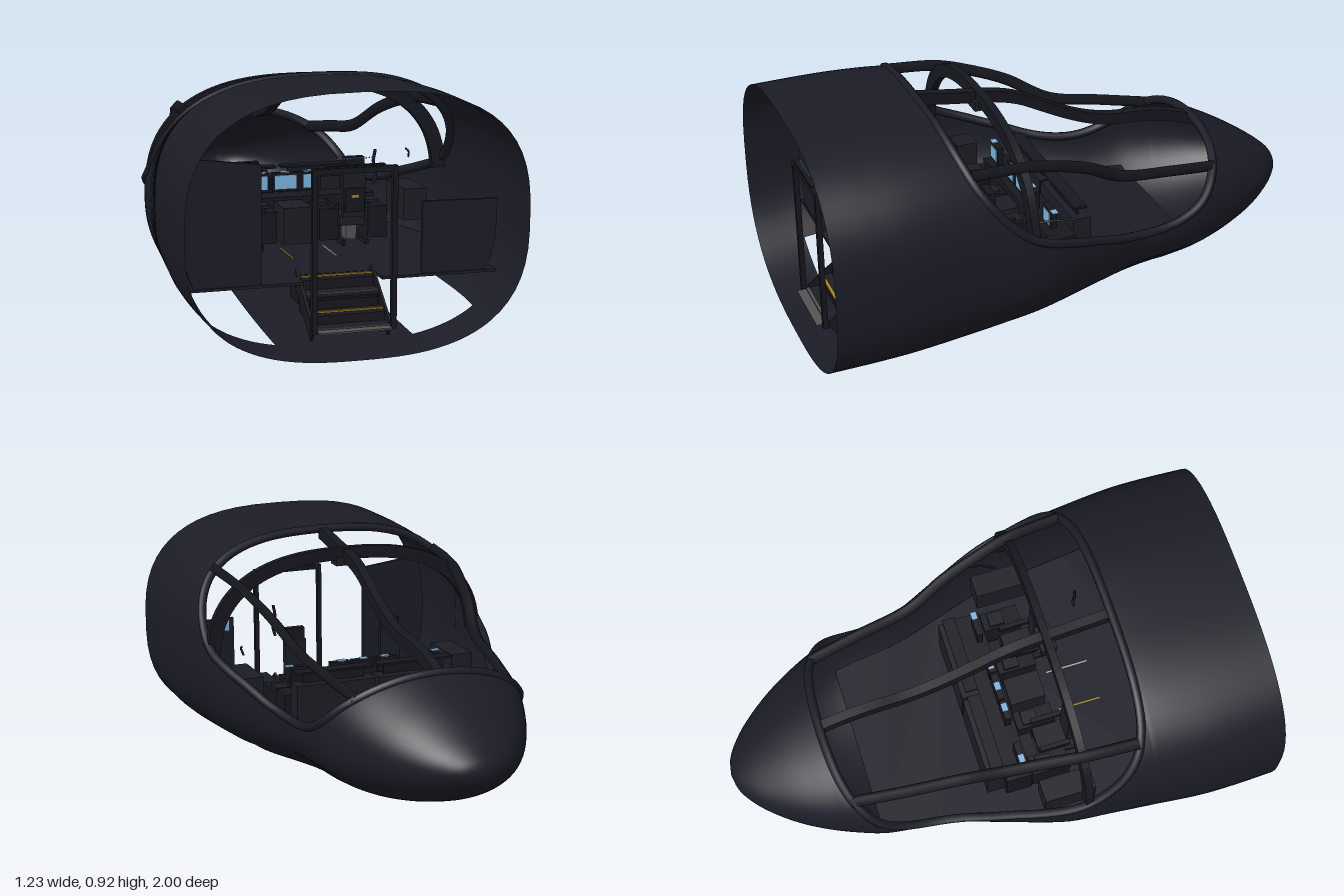
import * as THREE from 'three';
import { mergeVertices } from 'three/addons/utils/BufferGeometryUtils.js';

const mat = (name, color) => Object.assign(new THREE.MeshStandardMaterial({ color, side: THREE.DoubleSide }), { name });
const M = {
  hull: mat('hull navy', 0x1c1c27),
  frame: mat('frame dark', 0x17171f),
  trim: mat('trim charcoal', 0x1d1d26),
  screen: mat('screen blue', 0x7fb4de),
  yellow: mat('marking yellow', 0xa88a1c),
  grey: mat('metal grey', 0x545456),
  pale: mat('marking pale', 0xb0b0b0),
};

// Smooth curve through [z, value] points sorted by z
function curve(p) {
  const slope = (i) => {
    const a = p[Math.max(i - 1, 0)], b = p[Math.min(i + 1, p.length - 1)];
    return (b[1] - a[1]) / (b[0] - a[0]);
  };
  return (z) => {
    let i = 0;
    while (i < p.length - 2 && z > p[i + 1][0]) i++;
    const d = p[i + 1][0] - p[i][0], t = THREE.MathUtils.clamp((z - p[i][0]) / d, 0, 1);
    const t2 = t * t, t3 = t2 * t;
    return (2 * t3 - 3 * t2 + 1) * p[i][1] + (t3 - 2 * t2 + t) * d * slope(i)
      + (3 * t2 - 2 * t3) * p[i + 1][1] + (t3 - t2) * d * slope(i + 1);
  };
}

// Hull outlines along z: half width, roof, belly, roundness, window sill
const width = curve([[-1, 0], [-0.99, 0.055], [-0.96, 0.11], [-0.9, 0.178], [-0.8, 0.257], [-0.7, 0.315], [-0.6, 0.36],
  [-0.5, 0.395], [-0.4, 0.41], [-0.3, 0.42], [-0.2, 0.44], [-0.1, 0.475], [0, 0.51], [0.1, 0.545], [0.2, 0.57],
  [0.35, 0.582], [0.5, 0.595], [0.7, 0.612], [0.85, 0.612], [1, 0.605]]);
const roof = curve([[-1, 0.345], [-0.99, 0.378], [-0.96, 0.41], [-0.9, 0.456], [-0.8, 0.52], [-0.7, 0.573], [-0.6, 0.62],
  [-0.5, 0.65], [-0.4, 0.665], [-0.3, 0.672], [-0.2, 0.695], [-0.1, 0.735], [0, 0.785], [0.1, 0.835], [0.2, 0.862],
  [0.35, 0.883], [0.5, 0.905], [0.7, 0.913], [1, 0.915]]);
const belly = curve([[-1, 0.345], [-0.99, 0.31], [-0.96, 0.28], [-0.9, 0.24], [-0.8, 0.187], [-0.6, 0.125], [-0.4, 0.1],
  [-0.3, 0.097], [-0.1, 0.08], [0.13, 0.052], [0.5, 0.022], [1, 0]]);
const power = curve([[-1, 2], [-0.6, 2.15], [0, 2.4], [0.5, 2.65], [1, 2.7]]);
const sill = curve([[-0.63, 0.607], [-0.61, 0.565], [-0.57, 0.51], [-0.5, 0.435], [-0.4, 0.385], [-0.29, 0.37], [-0.15, 0.39],
  [-0.02, 0.435], [0.1, 0.475], [0.25, 0.535], [0.35, 0.62], [0.42, 0.71], [0.46, 0.78], [0.49, 0.86], [0.5, 0.905]]);
const Z0 = -0.63, Z1 = 0.5, BAY0 = 0.13, BAY1 = 0.82;

const mid = (z) => (roof(z) + belly(z)) / 2, half = (z) => (roof(z) - belly(z)) / 2;
function section(z, t) {
  const e = 2 / power(z), s = Math.sin(t);
  return [width(z) * Math.pow(Math.max(Math.cos(t), 0), e), mid(z) + half(z) * Math.sign(s) * Math.pow(Math.abs(s), e)];
}
function angleAt(z, y) {
  const k = THREE.MathUtils.clamp((y - mid(z)) / Math.max(half(z), 1e-6), -1, 1);
  return Math.asin(Math.sign(k) * Math.pow(Math.abs(k), power(z) / 2));
}
const halfX = (z, y) => section(z, angleAt(z, y))[0];
const topAngle = (z) => (z <= Z0 + 1e-6 || z >= Z1 - 1e-6 ? Math.PI / 2 : angleAt(z, sill(z)));
const steps = (n, f) => Array.from({ length: n + 1 }, (_, i) => f(i / n));
const windowZ = (u) => Z0 + (Z1 - Z0) * (1 - Math.cos(Math.PI * u)) / 2;

// Open shell with the canopy opening above and two bays in the belly
function hullGeometry() {
  const zs = [...steps(22, (u) => -1 + (Z0 + 1) * u * u), ...steps(60, windowZ).slice(1),
    ...steps(25, (u) => Z1 + (1 - Z1) * u).slice(1), BAY0, BAY1].sort((a, b) => a - b);
  const A = 10, B = 20, N = 42, row = 2 * N + 1, pos = [], idx = [];
  for (const z of zs) {
    // bay edges fall exactly on rows A and B
    const c = THREE.MathUtils.clamp(z, BAY0, BAY1);
    const tA = -Math.acos(Math.pow(0.25 / width(c), power(c) / 2)), tB = angleAt(c, 0.11 + 0.065 * (BAY1 - c)), tN = topAngle(z);
    for (let j = -N; j <= N; j++) {
      const k = Math.abs(j), mix = THREE.MathUtils.lerp;
      const t = k < A ? mix(-Math.PI / 2, tA, k / A) : k < B ? mix(tA, tB, (k - A) / (B - A)) : mix(tB, tN, (k - B) / (N - B));
      const [x, y] = section(z, t);
      pos.push(k === 0 || (k === N && tN > 1.5707) ? 0 : Math.sign(j) * x, y, z);
    }
  }
  for (let i = 0; i < zs.length - 1; i++) for (let j = 0; j < row - 1; j++) {
    const a = i * row + j, b = a + row, k = Math.abs(j + 0.5 - N);
    if (zs[i] >= BAY0 && zs[i + 1] <= BAY1 && k > A && k < B) continue;
    idx.push(a, a + 1, b, a + 1, b + 1, b);
  }
  const g = new THREE.BufferGeometry();
  g.setAttribute('position', new THREE.Float32BufferAttribute(pos, 3));
  g.setIndex(idx);
  const m = mergeVertices(g, 1e-5);
  m.computeVertexNormals();
  return m;
}

export function createModel() {
  const root = new THREE.Group();
  root.name = 'cockpit';
  const add = (name, geo, m, x = 0, y = 0, z = 0, parent = root) => {
    const o = new THREE.Mesh(geo, m);
    o.name = name;
    o.position.set(x, y, z);
    parent.add(o);
    return o;
  };
  const box = (name, m, w, h, d, x, y, z, parent) => add(name, new THREE.BoxGeometry(w, h, d), m, x, y, z, parent);
  const tube = (name, m, pts, r, closed = false, sides = 8, seg = 60) =>
    add(name, new THREE.TubeGeometry(new THREE.CatmullRomCurve3(pts.map((p) => new THREE.Vector3(...p)), closed), seg, r, sides, closed), m);
  const plate = (pts, depth) =>
    new THREE.ExtrudeGeometry(new THREE.Shape(pts.map((p) => new THREE.Vector2(...p))), { depth, bevelEnabled: false });

  add('hull', hullGeometry(), M.hull);

  // Rim around the canopy opening, sunk slightly into the skin
  const edge = steps(30, windowZ).map((z) => {
    const [x, y] = section(z, topAngle(z));
    return [x * 0.99, mid(z) + (y - mid(z)) * 0.985, z];
  });
  edge[0][0] = edge[30][0] = 0;
  tube('canopyRim', M.hull, [...edge, ...edge.slice(1, -1).reverse().map(([x, y, z]) => [-x, y, z])], 0.017, true, 8, 160);

  // Centre beam, side rails and cross arch of the canopy
  const bz = steps(40, (u) => Z0 + (Z1 - Z0) * u);
  const beam = add('centreBeam', plate([...bz.map((z) => [-z, roof(z)]), ...bz.reverse().map((z) => [-z, roof(z) - 0.045])], 0.036), M.frame, -0.018);
  beam.rotation.y = Math.PI / 2;
  for (const s of [-1, 1]) {
    tube('sideRail', M.frame, [[0.47, 0.785, 0.455], [0.455, 0.77, 0.25], [0.43, 0.737, 0.12], [0.4, 0.685, -0.02], [0.355, 0.597, -0.18],
      [0.325, 0.557, -0.4], [0.295, 0.525, -0.59]].map(([x, y, z]) => [s * x, y, z]), 0.023, false, 4);
  }
  const a0 = angleAt(0.25, 0.5);
  const arc = steps(48, (u) => a0 + (Math.PI - 2 * a0) * u).map((t) => {
    const [x, y] = section(0.25, t > Math.PI / 2 ? Math.PI - t : t);
    return [t > Math.PI / 2 ? -x : x, mid(0.25) + (y - mid(0.25)) * 1.015];
  });
  const inner = arc.map(([x, y]) => [x * 0.91, mid(0.25) + (y - mid(0.25)) * 0.885]).reverse();
  add('crossArch', plate([...arc, ...inner], 0.03), M.frame, 0, 0, 0.235);
  box('overheadPanel', M.trim, 0.1, 0.035, 0.06, 0, 0.825, 0.25);

  // Floor follows the hull walls, with a well for the stairs
  const fl = steps(28, (u) => -0.5 + 1.3 * u).map((z) => [halfX(z, 0.23) * 0.985, -z]);
  fl.push([0.142, -0.8], [0.142, -0.7]);
  const floor = add('floor', plate([...fl, ...fl.map(([x, z]) => [-x, z]).reverse()], 0.01), M.hull, 0, 0.222, 0);
  floor.rotation.x = -Math.PI / 2;
  box('floorStripeYellow', M.yellow, 0.006, 0.003, 0.17, -0.083, 0.234, 0.385);
  box('floorStripePale', M.pale, 0.006, 0.003, 0.17, 0.08, 0.234, 0.385);

  // Rear bulkheads, tall on one side and low on the other
  for (const [s, yIn, yOut] of [[-1, 0.65, 0.68], [1, 0.49, 0.485]]) {
    const side = steps(12, (u) => 0.23 + (yOut - 0.23) * u).map((y) => [s * (halfX(0.78, y) - 0.045), y]);
    add('bulkhead', plate([[s * 0.29, 0.23], ...side, [s * 0.29, yIn]], 0.015), M.hull, 0, 0, 0.78);
    box('sideConsole', M.trim, 0.09, 0.12, 0.2, s * 0.44, 0.37, 0.21);
  }
  for (const [x, y] of [[0.345, 0.46], [0.39, 0.385]]) box('bulkheadScreen', M.screen, 0.07, 0.046, 0.005, x, y, 0.776);

  // Entry stairs with marked nosings, and the portal frame around them
  [[0.225, 0.7, M.yellow], [0.178, 0.76, M.grey], [0.128, 0.82, M.yellow], [0.085, 0.88, M.grey]].forEach(([y, z, m], i) => {
    box('stairTread', M.trim, 0.27, 0.012, 0.07, 0, y, z);
    box('stairNosing', m, 0.26, 0.004, 0.012, 0, y + 0.008, z + 0.028);
    if (i < 3) box('stairRiser', M.frame, 0.27, 0.046, 0.008, 0, y - 0.02, z + 0.026);
  });
  box('understairFront', M.frame, 0.25, 0.1, 0.11, 0, 0.17, 0.625);
  box('understairRear', M.frame, 0.25, 0.07, 0.12, 0, 0.13, 0.75);
  box('stairLanding', M.grey, 0.26, 0.006, 0.04, 0, 0.087, 0.93);
  for (const s of [-1, 1]) {
    box('portalPost', M.frame, 0.018, 0.56, 0.02, s * 0.142, 0.36, 0.92);
    box('stairStringer', M.frame, 0.008, 0.06, 0.27, s * 0.138, 0.15, 0.79).rotation.x = 0.66;
  }
  box('portalHeader', M.frame, 0.3, 0.02, 0.02, 0, 0.64, 0.92);
  box('portalDisplay', M.frame, 0.21, 0.004, 0.02, 0, 0.656, 0.92);
  for (let i = 0; i < 12; i++) box('portalLight', M.screen, 0.005, 0.004, 0.004, -0.06 + i * 0.011, 0.68, 0.92);

  // Instrument panel in two halves, with station blocks and a centre pedestal
  box('lowerConsole', M.frame, 0.7, 0.15, 0.1, 0, 0.305, 0.05);
  box('pedestal', M.trim, 0.11, 0.14, 0.14, 0, 0.3, 0.18);
  for (const s of [-1, 1]) {
    box('dashboard', M.trim, 0.32, 0.2, 0.07, s * 0.165, 0.332, -0.035);
    box('dashHood', M.frame, 0.31, 0.008, 0.05, s * 0.165, 0.475, -0.03);
    box('hoodSupport', M.frame, 0.25, 0.05, 0.008, s * 0.165, 0.452, -0.03);
    for (const x of [0.12, 0.31]) {
      box('stationBlock', M.frame, 0.075, 0.12, 0.15, s * x, 0.3, 0.18);
      box('stationKeys', M.trim, 0.055, 0.012, 0.06, s * x, 0.366, 0.16);
    }
  }
  // Monitors facing aft, each with a small flat display on its top
  for (const [x, w, top] of [[-0.275, 0.06, -0.305], [-0.1, 0.058, -0.09], [0, 0.085, 0], [0.1, 0.058, 0.09], [0.262, 0.06, 0.305]]) {
    const g = new THREE.Group();
    g.name = 'monitor';
    g.position.set(x, 0.435, 0.07);
    root.add(g);
    box('monitorCase', M.frame, w + 0.02, 0.072, 0.024, 0, 0, 0, g);
    box('monitorScreen', M.screen, w, 0.052, 0.004, 0, 0, 0.013, g);
    box('topDisplay', M.screen, 0.032, 0.003, 0.024, top - x, 0.038, 0, g);
  }

  // Two crew seats
  for (const s of [-1, 1]) {
    const g = new THREE.Group();
    g.name = 'seat';
    g.position.x = s * 0.202;
    root.add(g);
    box('seatCushion', M.trim, 0.1, 0.035, 0.12, 0, 0.315, 0.22, g);
    box('seatBack', M.trim, 0.085, 0.18, 0.03, 0, 0.425, 0.29, g);
    box('headrest', M.frame, 0.075, 0.05, 0.03, 0, 0.537, 0.29, g);
    box('backPanel', M.frame, 0.075, 0.09, 0.008, 0, 0.4, 0.308, g);
    box('backTag', M.yellow, 0.028, 0.01, 0.004, 0, 0.415, 0.314, g);
    box('seatBase', M.grey, 0.04, 0.055, 0.06, 0, 0.27, 0.24, g);
    for (const k of [-1, 1]) {
      box('armrest', M.frame, 0.018, 0.02, 0.12, k * 0.06, 0.37, 0.22, g);
      box('seatRail', M.frame, 0.012, 0.02, 0.18, k * 0.045, 0.24, 0.23, g);
    }
    box('footWell', M.frame, 0.1, 0.06, 0.05, 0, 0.262, 0.13, g);
  }

  // Control lever and thin wall handle
  tube('controlLever', M.frame, [[0.225, 0.49, 0.45], [0.235, 0.53, 0.45], [0.225, 0.57, 0.45], [0.232, 0.615, 0.45]], 0.006, false, 6, 12);
  tube('wallHandle', M.frame, [[0.45, 0.532, 0.2], [0.47, 0.54, 0.15], [0.487, 0.538, 0.07]], 0.004, false, 6, 12);
  return root;
}
